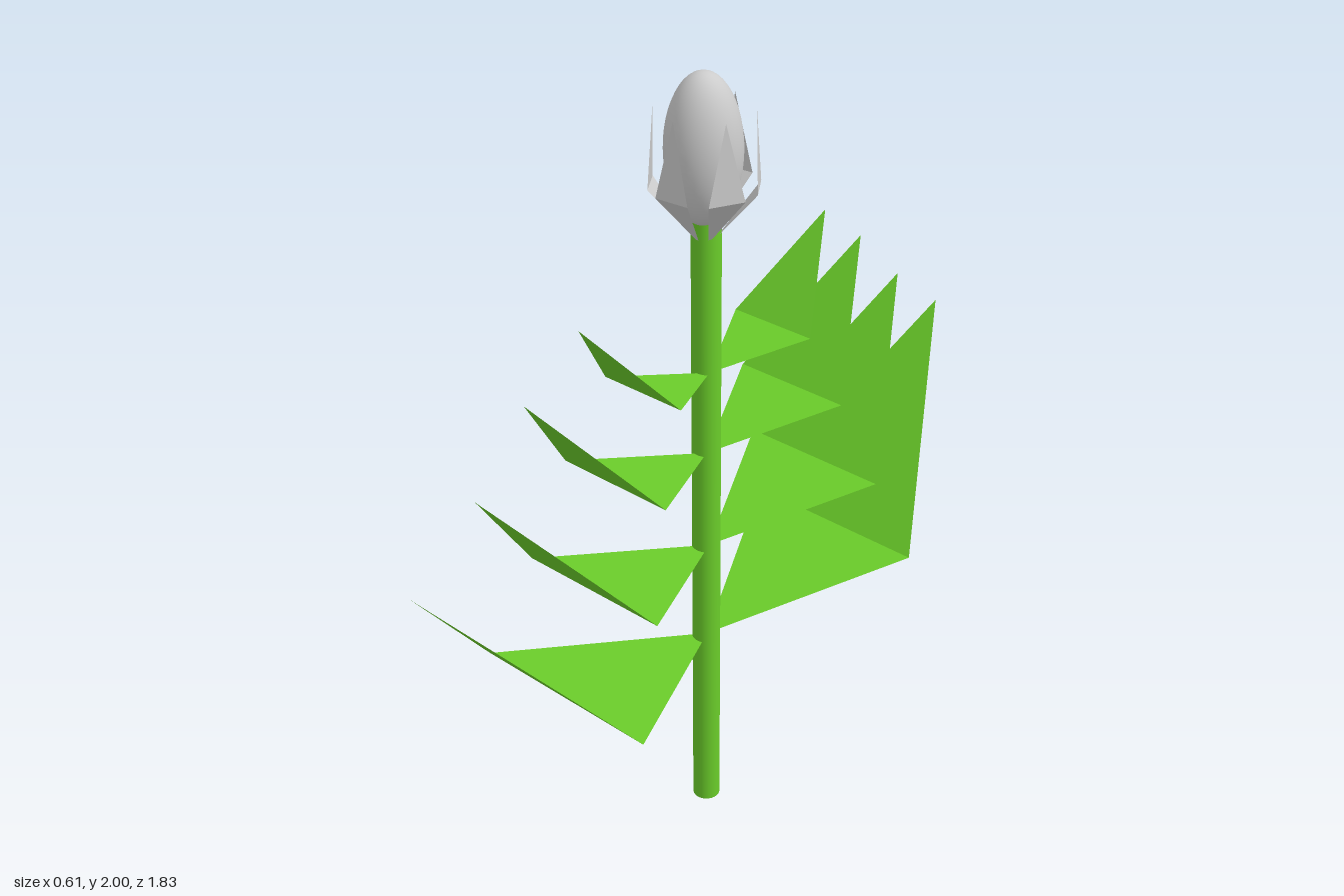
import * as THREE from 'three';

const green = new THREE.MeshStandardMaterial({ color: 0x6acc2a });
const leafGreen = new THREE.MeshStandardMaterial({ color: 0x6acc2a, flatShading: true, side: THREE.DoubleSide });
const grey = new THREE.MeshStandardMaterial({ color: 0xcccccc });
const petalGrey = new THREE.MeshStandardMaterial({ color: 0xcccccc, flatShading: true, side: THREE.DoubleSide });

// Kite-shaped blade folded across its widest line: base, two side corners, tip
function blade(base, sideA, sideB, tip) {
  const geo = new THREE.BufferGeometry();
  geo.setAttribute('position', new THREE.Float32BufferAttribute(
    [base, sideA, sideB, sideA, tip, sideB].flat(), 3));
  geo.computeVertexNormals();
  return geo;
}

export function createModel() {
  const group = new THREE.Group();
  const add = (name, geo, mat, x, y, z) => {
    const mesh = new THREE.Mesh(geo, mat);
    mesh.name = name;
    mesh.position.set(x, y, z);
    group.add(mesh);
    return mesh;
  };

  // Stem
  add('stem', new THREE.CylinderGeometry(0.035, 0.035, 1.67, 24), green, 0.008, 0.835, 0.017);

  // Flower bud
  add('bud', new THREE.SphereGeometry(0.088, 32, 24), grey, 0.009, 1.825, 0.028).scale.y = 0.175 / 0.088;

  // Ring of folded petals
  const petal = blade([0, 0, 0.02], [-0.043, 0.13, 0.12], [0.043, 0.13, 0.12], [0, 0.31, 0.112]);
  for (let i = 0; i < 6; i++) {
    add('petal', petal, petalGrey, 0.009, 1.61, 0.024).rotation.y = i * Math.PI / 3;
  }

  // Pairs of folded leaves, shrinking up the stem; sides and tip are relative to the base
  const tiers = [
    { at: [0, 0.51, 0.002], a: [-0.303, 0.092, 0.475], b: [0.205, 0.092, 0.523], tip: [-0.088, 0.60, 0.915] },
    { at: [0.008, 0.785, 0.005], a: [-0.24, 0.073, 0.38], b: [0.162, 0.073, 0.417], tip: [-0.068, 0.475, 0.727] },
    { at: [0.014, 1.06, 0.023], a: [-0.186, 0.057, 0.295], b: [0.127, 0.057, 0.325], tip: [-0.054, 0.37, 0.566] },
    { at: [0.023, 1.28, 0.024], a: [-0.135, 0.04, 0.213], b: [0.094, 0.04, 0.234], tip: [-0.036, 0.27, 0.414] },
  ];
  for (const { at, a, b, tip } of tiers) {
    const geo = blade([0, 0, 0], a, b, tip);
    add('frontLeaf', geo, leafGreen, ...at);
    add('backLeaf', geo, leafGreen, ...at).rotation.y = Math.PI;
  }

  return group;
}
